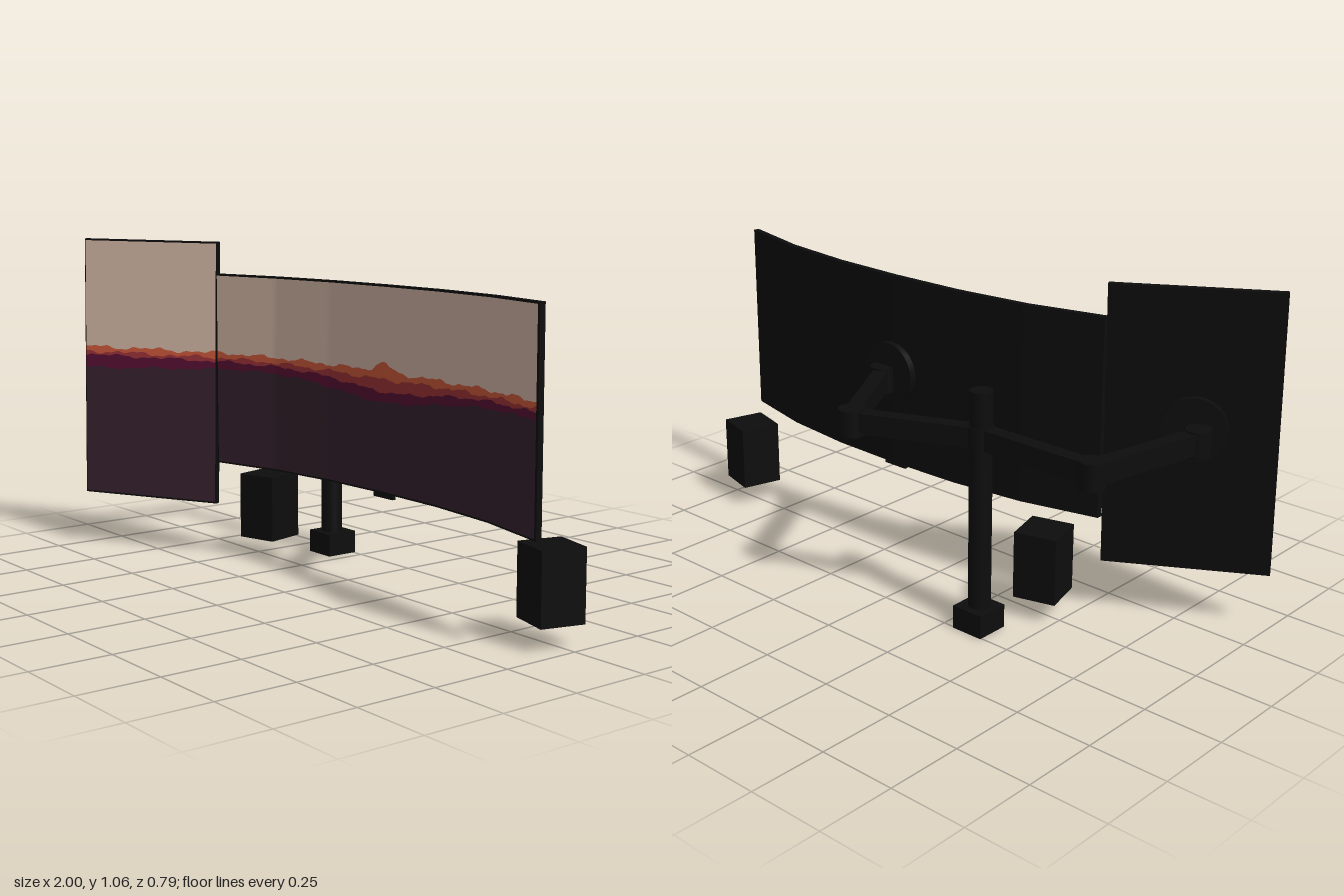
import * as THREE from 'three';

const mat = (name, color) => {
  const m = new THREE.MeshStandardMaterial({ color });
  m.name = name;
  return m;
};

export function createModel() {
  const model = new THREE.Group();
  model.name = 'dualMonitorDesk';
  const black = mat('black', 0x0d0d0d);
  const sky = mat('sky', 0xd6b9a8);
  const orange = mat('orange', 0xd05a3c);
  const crimson = mat('crimson', 0xa03438);
  const maroon = mat('maroon', 0x5a1034);
  const dark = mat('darkPlum', 0x36222e);

  const add = (parent, name, geo, x = 0, y = 0, z = 0, m = black) => {
    const mesh = new THREE.Mesh(geo, m);
    mesh.name = name;
    mesh.position.set(x, y, z);
    parent.add(mesh);
    return mesh;
  };

  // Layered hill lines of the display picture, from top to bottom
  const bump = (x, c, w) => Math.exp(-(((x - c) / w) ** 2));
  const jag = (x, k) =>
    0.004 * Math.sin(x * 31 + k * 2.1) + 0.003 * Math.sin(x * 67 + k * 4.7) + 0.002 * Math.sin(x * 143 + k);
  const hills = [
    x => 0.693 + jag(x, 0) + 0.026 * bump(x, 0.22, 0.05),
    x => 0.676 + jag(x, 1) - 0.006 * bump(x, 0.2, 0.3),
    x => 0.664 + jag(x, 2) * 0.8 - 0.032 * bump(x, 0.25, 0.28),
    x => 0.645 + jag(x, 3) * 0.7 - 0.045 * bump(x, 0.22, 0.32) - 0.025 * bump(x, -1, 0.4),
  ];

  // Ribbon facing forward between two height functions along a path
  const ribbon = (path, low, high) => {
    const pos = [], idx = [];
    path.forEach(([x, z], i) => {
      pos.push(x, low(x), z, x, high(x), z);
      const a = i * 2;
      if (i) idx.push(a - 2, a, a + 1, a - 2, a + 1, a - 1);
    });
    const geo = new THREE.BufferGeometry();
    geo.setAttribute('position', new THREE.Float32BufferAttribute(pos, 3));
    geo.setIndex(idx);
    geo.computeVertexNormals();
    return geo;
  };

  // Display: an extruded thin case with a banded picture on its front
  const display = (name, front, [ox, oz], y0, y1) => {
    const group = new THREE.Group();
    group.name = name;
    const back = front.map(([x, z]) => [x - ox, z - oz]).reverse();
    const outline = [...front, ...back].map(([x, z]) => new THREE.Vector2(x, -z));
    const body = new THREE.ExtrudeGeometry(new THREE.Shape(outline), { depth: y1 - y0, bevelEnabled: false });
    add(group, name + 'Case', body.rotateX(-Math.PI / 2), 0, y0, 0);

    const path = [], n = front.length - 1, steps = Math.ceil(96 / n), inset = 0.015 * n / 2;
    for (let i = 0; i < n; i++) {
      const from = i === 0 ? Math.min(inset, 0.03) : 0;
      const to = i === n - 1 ? 1 - Math.min(inset, 0.03) : 1;
      for (let s = i ? 1 : 0; s <= steps; s++) {
        const t = from + (to - from) * s / steps;
        const [ax, az] = front[i], [bx, bz] = front[i + 1];
        path.push([ax + (bx - ax) * t + ox * 0.1, az + (bz - az) * t + oz * 0.1]);
      }
    }
    const edges = [() => y1 - 0.006, ...hills, () => y0 + 0.006];
    [sky, orange, crimson, maroon, dark].forEach((m, i) =>
      add(group, name + 'Picture' + (i + 1), ribbon(path, edges[i + 1], edges[i]), 0, 0, 0, m));
    model.add(group);
    return group;
  };

  // Wide curved display, bent in six flat facets
  const bend = [0.134, 0.072, 0.043, 0.036, 0.043, 0.072, 0.134];
  const curve = bend.map((z, i) => [0.2175 + (i - 3) * 0.2542, z]);
  const wide = display('curvedDisplay', curve, [0, 0.02], 0.32, 0.955);
  add(wide, 'controlButton', new THREE.BoxGeometry(0.09, 0.02, 0.012), 0.22, 0.316, 0.031);

  // Upright side display, turned inward and leaning slightly back
  const side = display('uprightDisplay', [[-0.99, 0.383], [-0.546, 0.133]], [0.0098, 0.0175], 0.18, 1.062);
  const tilt = -0.0175, cy = 0.62, cz = 0.258;
  side.rotation.x = tilt;
  side.position.set(0, cy - cy * Math.cos(tilt) + cz * Math.sin(tilt), cz - cy * Math.sin(tilt) - cz * Math.cos(tilt));

  // Stand pole on a desk clamp
  const armY = 0.618;
  add(model, 'clamp', new THREE.BoxGeometry(0.11, 0.075, 0.11), -0.345, 0.0375, -0.2);
  add(model, 'pole', new THREE.CylinderGeometry(0.035, 0.035, 0.72, 24), -0.345, 0.405, -0.197);
  add(model, 'collar', new THREE.CylinderGeometry(0.04, 0.04, 0.075, 24), -0.345, armY, -0.197);

  // Folding arms with round joints
  const pole = [-0.345, -0.197];
  const arms = [
    [pole, [0.03, -0.355], [0.235, -0.012]],
    [pole, [-0.75, -0.197], [-0.83, 0.2]],
  ];
  for (const arm of arms) {
    for (let i = 0; i < 2; i++) {
      const [ax, az] = arm[i], [bx, bz] = arm[i + 1];
      const beam = add(model, 'armBeam', new THREE.BoxGeometry(Math.hypot(bx - ax, bz - az), 0.065, 0.047),
        (ax + bx) / 2, armY + 0.003, (az + bz) / 2);
      beam.rotation.y = -Math.atan2(bz - az, bx - ax);
      add(model, 'armJoint', new THREE.CylinderGeometry(0.04, 0.04, 0.083, 24), bx, armY, bz);
    }
  }

  // Round mounting plates behind the displays
  const plate = (x, z, yaw) => {
    const geo = new THREE.CylinderGeometry(0.1, 0.1, 0.027, 24).rotateX(Math.PI / 2);
    add(model, 'mountPlate', geo, x, 0.637, z).rotation.y = yaw;
  };
  plate(0.22, 0.009, 0);
  plate(-0.79, 0.237, 0.51);

  // Speakers turned toward the centre
  for (const [name, x, z, yaw] of [['rightSpeaker', -0.427, 0.005, 0.27], ['leftSpeaker', 0.914, 0.008, -0.27]]) {
    add(model, name, new THREE.BoxGeometry(0.138, 0.216, 0.138), x, 0.178, z).rotation.y = yaw;
  }
  return model;
}
